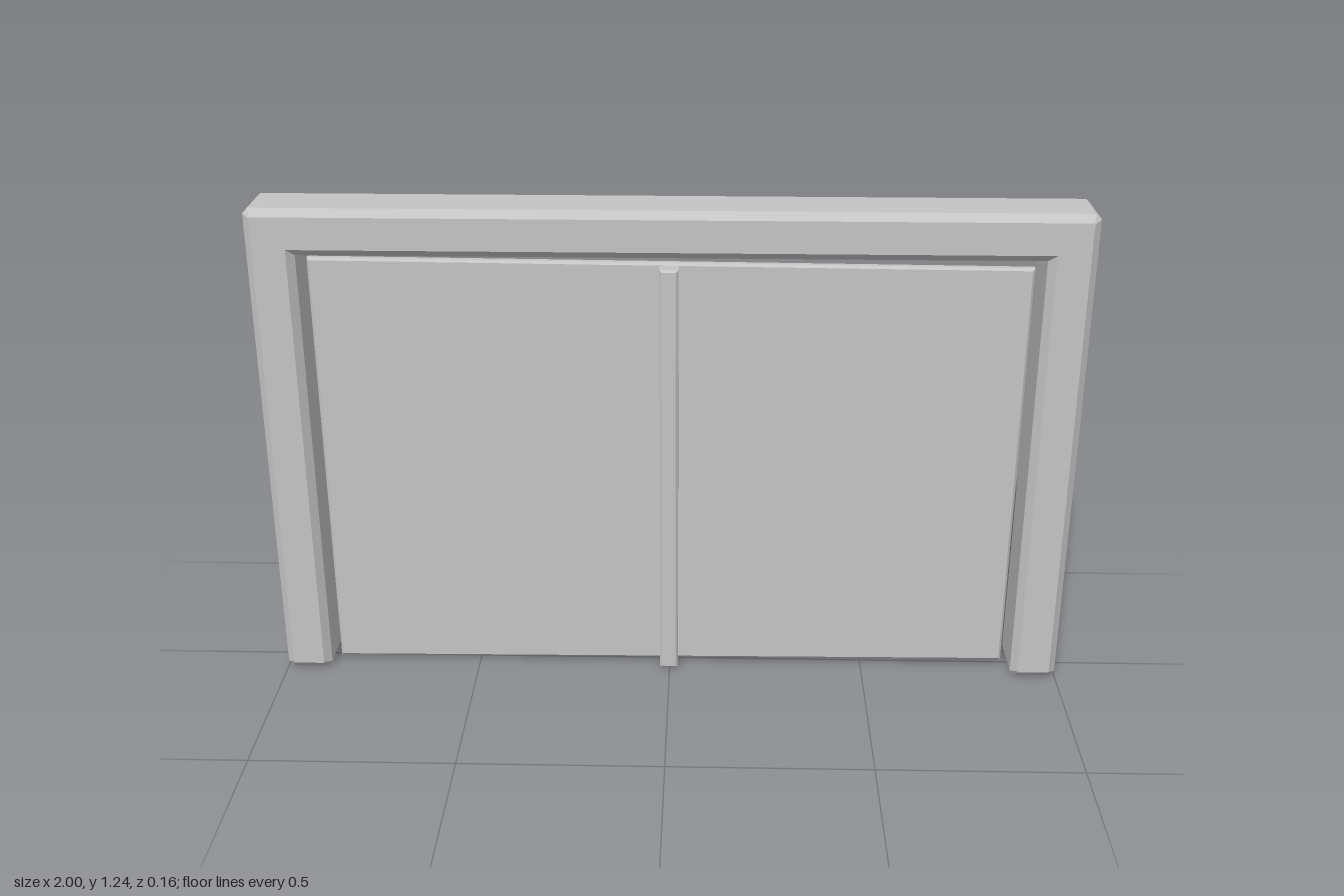
import * as THREE from 'three';

const grey = new THREE.MeshStandardMaterial({ color: 0xc4c4c4 });
grey.name = 'plain grey';

// Extrudes an outline from z0 to z1, with a chamfer kept inside the outline
function chamferedPart(name, points, z0, z1, chamfer) {
  const shape = new THREE.Shape(points.map(([x, y]) => new THREE.Vector2(x, y)));
  const geometry = new THREE.ExtrudeGeometry(shape, {
    depth: z1 - z0 - 2 * chamfer,
    bevelEnabled: true,
    bevelSegments: 1,
    bevelSize: chamfer,
    bevelOffset: -chamfer,
    bevelThickness: chamfer,
  });
  geometry.translate(0, 0, z0 + chamfer);
  const mesh = new THREE.Mesh(geometry, grey);
  mesh.name = name;
  return mesh;
}

export function createModel() {
  const model = new THREE.Group();
  model.name = 'framedPanel';

  // Frame: two posts joined by a top beam, outer corners cut
  const c = 0.013, inner = 0.885, top = 1.24, under = 1.125;
  const rightHalf = [
    [inner, under], [inner, c], [inner + c, 0],
    [1 - c, 0], [1, c], [1, top - c], [1 - c, top],
  ];
  const leftHalf = rightHalf.map(([x, y]) => [-x, y]).reverse();
  model.add(chamferedPart('frame', [...rightHalf, ...leftHalf], -0.081, 0.081, 0.018));

  // Thin panel, slightly shorter on its left side
  model.add(chamferedPart('panel',
    [[-0.87, 0.006], [0.867, 0.018], [0.867, 1.092], [-0.87, 1.105]], -0.003, 0.021, 0.006));

  // Upright batten on the front of the panel
  model.add(chamferedPart('centreBatten',
    [[-0.025, 0.002], [0.021, 0.002], [0.021, 1.092], [-0.025, 1.092]], 0.008, 0.056, 0.006));

  return model;
}
